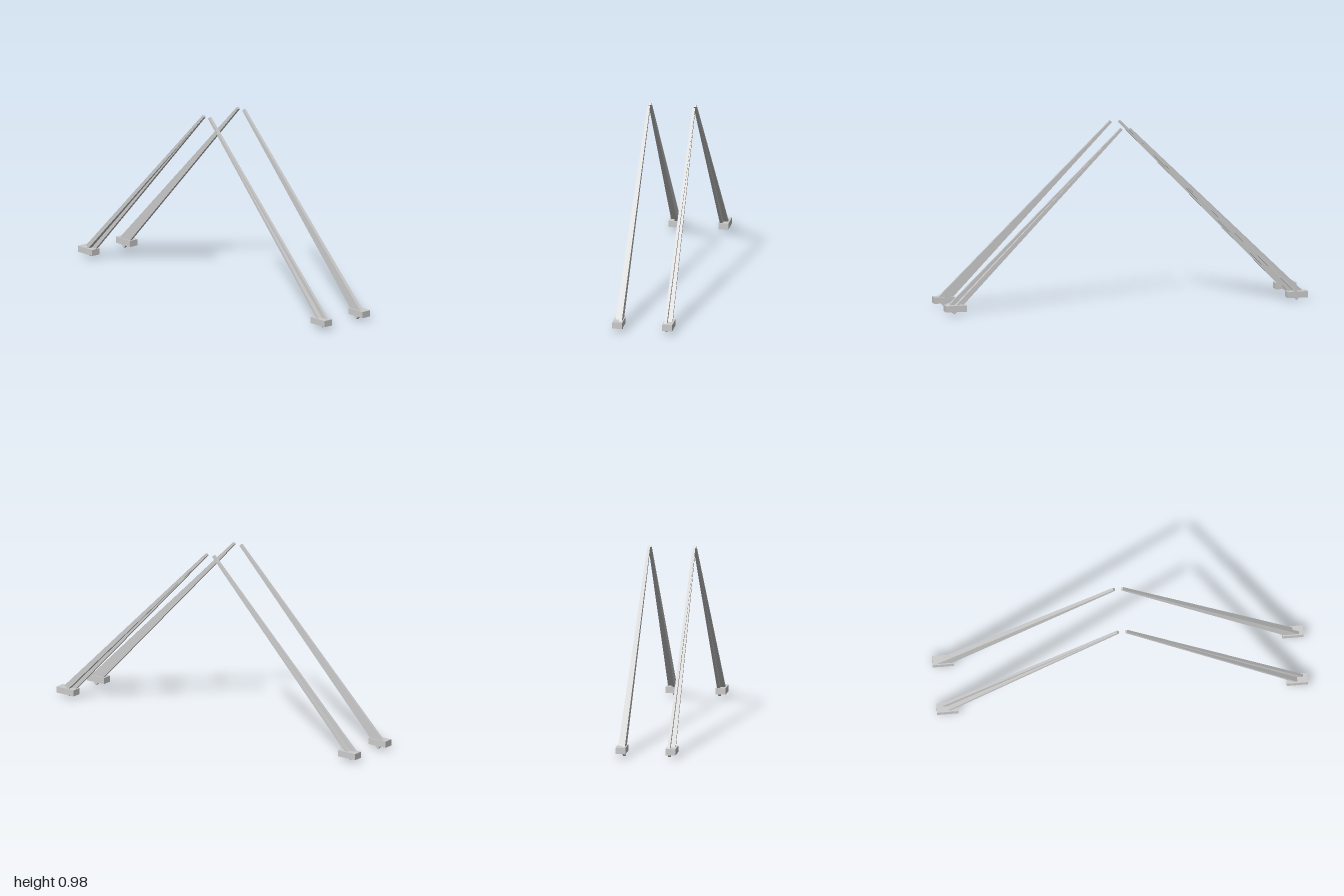
import * as THREE from 'three';

const material = new THREE.MeshStandardMaterial({ color: 0xcccccc, flatShading: true });

// Leg centre line (for the +x side), from the foot to the tip
const FOOT = new THREE.Vector2(0.965, 0.0215);
const TIP = new THREE.Vector2(0.022, 0.974);
const LENGTH = FOOT.distanceTo(TIP);
const LEAN = Math.atan2(FOOT.x - TIP.x, TIP.y - FOOT.y);

const FLANGE_IN = 0.115, FLANGE_OUT = 0.13; // distances from the middle plane

// Box along y from 0 to LENGTH; width and outer depth taper linearly from foot to tip
function taperedBar(side, widths, zIn, zOuts) {
  const geo = new THREE.BoxGeometry(1, 1, 1);
  const p = geo.attributes.position;
  for (let i = 0; i < p.count; i++) {
    const end = p.getY(i) > 0 ? 1 : 0;
    const outer = p.getZ(i) * side > 0;
    p.setXYZ(i, p.getX(i) * widths[end], end * LENGTH, side * (outer ? zOuts[end] : zIn));
  }
  geo.computeVertexNormals();
  return geo;
}

function addMesh(parent, name, geo) {
  const mesh = new THREE.Mesh(geo, material);
  mesh.name = name;
  parent.add(mesh);
  return mesh;
}

function makeLeg(sx, sz) {
  const leg = new THREE.Group();
  leg.name = (sz > 0 ? 'front' : 'back') + (sx > 0 ? 'Left' : 'Right') + 'Leg';

  // Leaning T-section beam: flat flange inside, tapering web outside
  const beam = new THREE.Group();
  beam.name = 'beam';
  beam.position.set(sx * FOOT.x, FOOT.y, 0);
  beam.rotation.z = sx * LEAN;
  addMesh(beam, 'flange', taperedBar(sz, [0.06, 0.014], FLANGE_IN, [FLANGE_OUT, FLANGE_OUT]));
  addMesh(beam, 'web', taperedBar(sz, [0.013, 0.013], FLANGE_OUT - 0.002, [0.156, FLANGE_OUT]));
  leg.add(beam);

  // Foot block, with the flange corner poking out below
  const foot = addMesh(leg, 'foot', new THREE.BoxGeometry(0.115, 0.034, 0.054));
  foot.position.set(sx * 0.9425, 0.036, sz * 0.136);
  return leg;
}

export function createModel() {
  const model = new THREE.Group();
  model.name = 'pairedLegFrame';
  for (const sx of [-1, 1]) for (const sz of [-1, 1]) model.add(makeLeg(sx, sz));
  return model;
}
